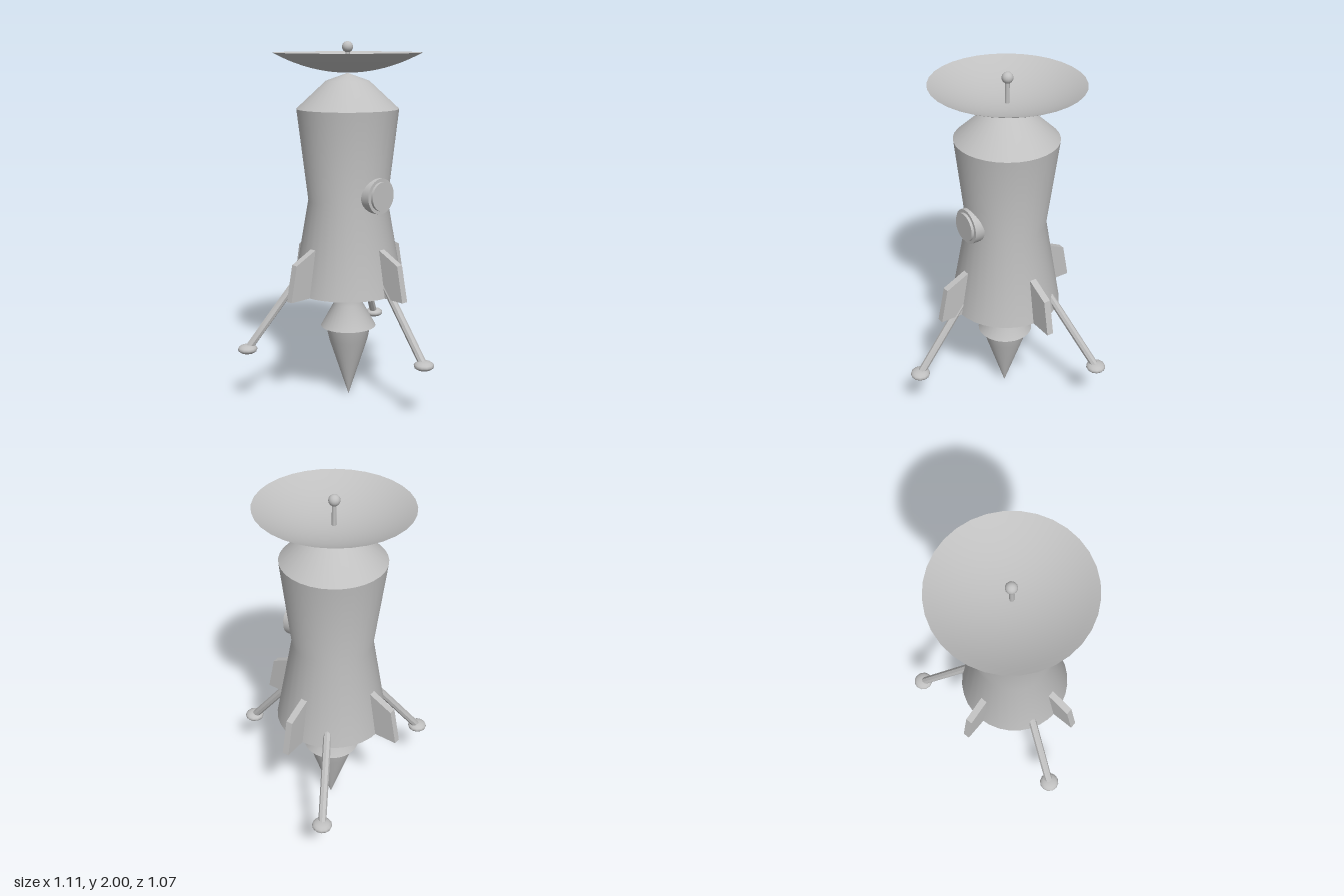
import * as THREE from 'three';

export function createModel() {
  const model = new THREE.Group();
  model.name = 'rocket';
  const rocket = new THREE.Group();
  rocket.name = 'rocketAssembly';
  rocket.position.z = -0.1;
  model.add(rocket);

  const grey = new THREE.MeshStandardMaterial({ color: 0xc0c0c0, side: THREE.DoubleSide });
  grey.name = 'light grey';

  function add(name, geometry, parent = rocket) {
    const mesh = new THREE.Mesh(geometry, grey);
    mesh.name = name;
    parent.add(mesh);
    return mesh;
  }
  // Profiles run from bottom to top as [radius, height]
  function lathe(name, profile, segments = 32) {
    return add(name, new THREE.LatheGeometry(profile.map(p => new THREE.Vector2(...p)), segments));
  }

  // Hull and nose
  lathe('hull', [[0.308, 0.635], [0.22, 1.14], [0.28, 1.64]]);
  lathe('hullBase', [[0, 0.635], [0.308, 0.635]]);
  lathe('nose', [[0.28, 1.64], [0.118, 1.79], [0, 1.832]]);

  // Engine bell and exhaust flame
  lathe('engineBell', [[0.155, 0.415], [0.083, 0.545], [0.097, 0.64]]);
  lathe('engineBellBase', [[0, 0.415], [0.155, 0.415]]);
  lathe('flame', [[0, 0], [0.108, 0.33], [0.127, 0.415]]);

  // Dish antenna with its feed rod
  const dishProfile = [];
  for (let i = 0; i <= 10; i++) {
    const t = i / 10;
    dishProfile.push([0.405 * t, 1.833 + 0.107 * t * t]);
  }
  lathe('dish', dishProfile);
  add('antennaRod', new THREE.CylinderGeometry(0.012, 0.012, 0.13, 8)).position.y = 1.9;
  add('antennaBall', new THREE.SphereGeometry(0.03, 16, 12)).position.y = 1.97;

  // Porthole on the front
  function disc(name, radius, z0, z1) {
    const mesh = add(name, new THREE.CylinderGeometry(radius, radius, z1 - z0, 32));
    mesh.rotation.x = Math.PI / 2;
    mesh.position.set(0, 1.187, (z0 + z1) / 2);
  }
  disc('portholeRing', 0.097, 0.17, 0.257);
  disc('portholeGlass', 0.079, 0.2, 0.272);

  // Four fins
  const finShape = new THREE.Shape([
    [0.2, 0.635], [0.435, 0.635], [0.395, 0.83], [0.262, 0.895], [0.2, 0.895]
  ].map(p => new THREE.Vector2(...p)));
  const finGeometry = new THREE.ExtrudeGeometry(finShape, { depth: 0.038, bevelEnabled: false });
  finGeometry.translate(0, 0, -0.019);
  for (let i = 0; i < 4; i++) add('fin', finGeometry).rotation.y = i * Math.PI / 2;

  // Three landing legs, each with a flattened foot pad
  const top = new THREE.Vector3(0, 0.725, 0.272);
  const bottom = new THREE.Vector3(0, 0.325, 0.572);
  const along = top.clone().sub(bottom);
  for (let i = 0; i < 3; i++) {
    const leg = new THREE.Group();
    leg.name = 'landingLeg';
    leg.rotation.y = i * Math.PI * 2 / 3;
    rocket.add(leg);
    const strut = add('strut', new THREE.CylinderGeometry(0.022, 0.022, along.length(), 8).toNonIndexed(), leg);
    strut.geometry.computeVertexNormals();
    strut.position.copy(top).add(bottom).multiplyScalar(0.5);
    strut.quaternion.setFromUnitVectors(new THREE.Vector3(0, 1, 0), along.clone().normalize());
    const foot = add('footPad', new THREE.SphereGeometry(0.055, 12, 8), leg);
    foot.scale.y = 0.48;
    foot.position.set(0, 0.32, 0.577);
  }
  return model;
}
